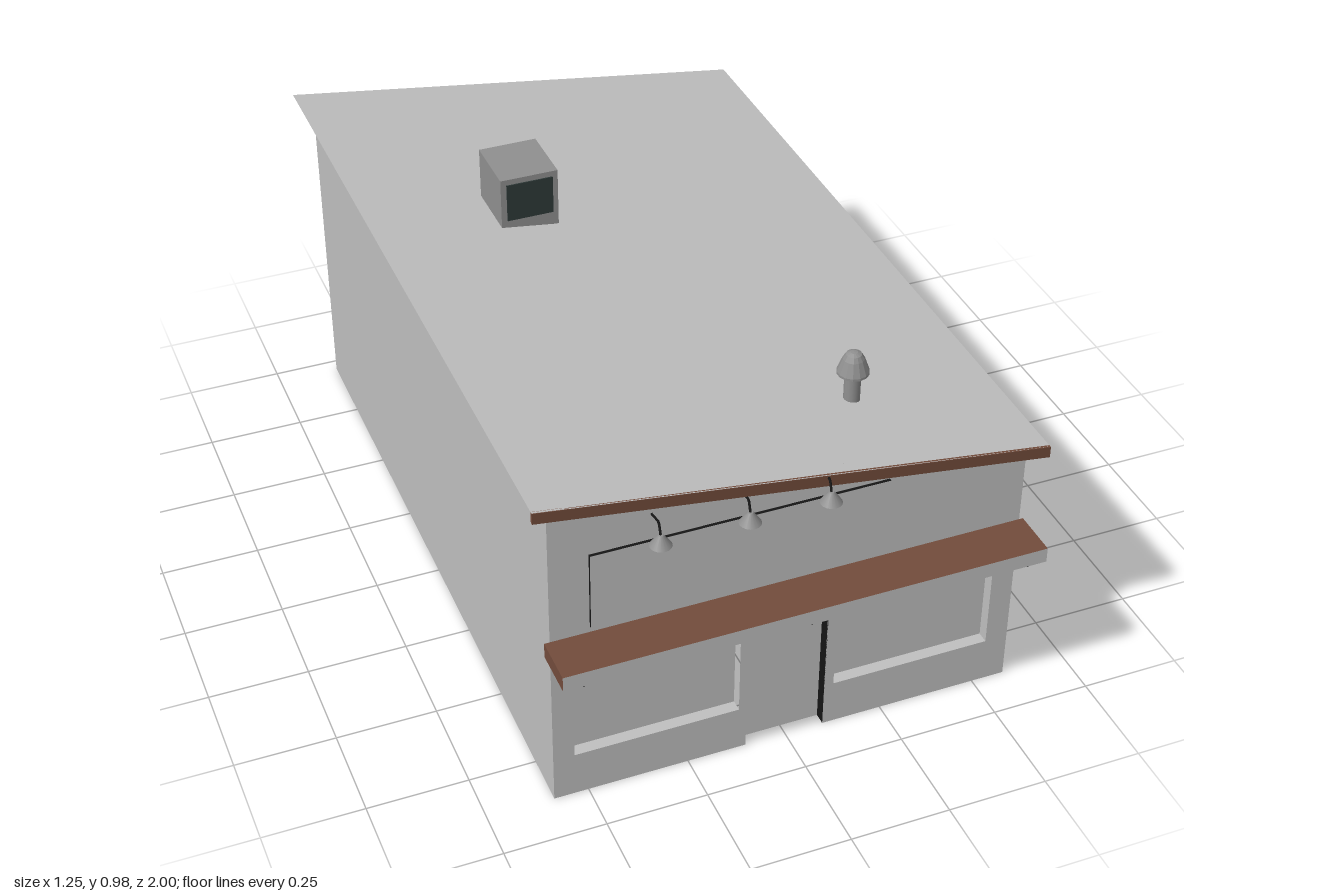
import * as THREE from 'three';

const mat = (name, color, side = THREE.FrontSide) =>
  Object.assign(new THREE.MeshStandardMaterial({ color, side }), { name });

export function createModel() {
  const root = new THREE.Group();
  root.name = 'shopBuilding';

  const gray = mat('paleGray', 0xc0c0c0, THREE.DoubleSide);
  const metal = mat('metalGray', 0x909090);
  const brown = mat('brownTimber', 0x734c3c);
  const black = mat('black', 0x151515, THREE.DoubleSide);
  const glass = mat('darkGrille', 0x2f3a39);

  const add = (name, geo, material, x = 0, y = 0, z = 0, parent = root) => {
    const m = new THREE.Mesh(geo, material);
    m.name = name;
    m.position.set(x, y, z);
    parent.add(m);
    return m;
  };
  // box given by its limits on each axis
  const box = (name, material, [x0, x1], [y0, y1], [z0, z1]) =>
    add(name, new THREE.BoxGeometry(x1 - x0, y1 - y0, z1 - z0), material,
      (x0 + x1) / 2, (y0 + y1) / 2, (z0 + z1) / 2);
  const outline = pts => new THREE.Shape(pts.map(p => new THREE.Vector2(...p)));
  const rect = (x0, x1, y0, y1) => [[x0, y0], [x1, y0], [x1, y1], [x0, y1]];
  const rod = (name, pts, r, material, parent = root) => {
    const path = new THREE.CurvePath();
    for (let i = 1; i < pts.length; i++) path.add(new THREE.LineCurve3(
      new THREE.Vector3(...pts[i - 1]), new THREE.Vector3(...pts[i])));
    return add(name, new THREE.TubeGeometry(path, (pts.length - 1) * 4, r, 6), material, 0, 0, 0, parent);
  };

  // overall sizes
  const W = 0.585, FRONT = 0.88, BACK = -0.96, RECESS = 0.03;
  const RX0 = -0.628, RX1 = 0.626;
  const roofY = x => 0.886 - (x - RX0) * 0.1408;
  const door = { x0: -0.103, x1: 0.098, top: 0.363 };
  const windows = [[-0.533, -0.122], [0.122, 0.528]];
  const sill = 0.12, head = 0.42;

  // front wall with door notch and window openings
  const front = outline([
    [-W, 0], [door.x0, 0], [door.x0, door.top], [door.x1, door.top], [door.x1, 0],
    [W, 0], [W, roofY(W)], [-W, roofY(-W)],
  ]);
  windows.forEach(([a, b]) => front.holes.push(outline(rect(a, b, sill, head))));
  add('frontWall', new THREE.ShapeGeometry(front), gray, 0, 0, FRONT);

  // back and side walls, open underneath
  const back = add('backWall', new THREE.ShapeGeometry(outline(
    [[-W, 0], [W, 0], [W, roofY(W)], [-W, roofY(-W)]])), gray, 0, 0, BACK);
  back.rotation.y = Math.PI;
  back.scale.x = -1;
  for (const s of [-1, 1]) {
    const h = roofY(s * W);
    add(s > 0 ? 'leftWall' : 'rightWall', new THREE.PlaneGeometry(FRONT - BACK, h), gray,
      s * W, h / 2, (FRONT + BACK) / 2).rotation.y = s * Math.PI / 2;
  }

  // sloping roof sheet and timber fascia
  const roof = new THREE.PlaneGeometry(RX1 - RX0, 1.915).rotateX(-Math.PI / 2);
  roof.translate((RX0 + RX1) / 2, 0, -0.0425);
  const rp = roof.attributes.position;
  for (let i = 0; i < rp.count; i++) rp.setY(i, roofY(rp.getX(i)));
  roof.computeVertexNormals();
  add('roof', roof, gray);
  add('roofFascia', new THREE.ExtrudeGeometry(outline([
    [RX0, roofY(RX0) - 0.029], [RX1, roofY(RX1) - 0.029], [RX1, roofY(RX1)], [RX0, roofY(RX0)],
  ]), { depth: 0.008, bevelEnabled: false }), brown, 0, 0, 0.908);

  // recessed windows, open along their inner edge
  const T = 0.002, deep = [FRONT - RECESS, FRONT];
  windows.forEach(([a, b], i) => {
    const outer = i ? b : a;
    add('windowPane', new THREE.ShapeGeometry(outline(rect(a, b, sill, head))), gray, 0, 0, FRONT - RECESS);
    box('windowSill', gray, [a, b], [sill - T, sill], deep);
    box('windowHead', gray, [a, b], [head, head + T], deep);
    box('windowJamb', gray, i ? [outer, outer + T] : [outer - T, outer], [sill, head], deep);
  });

  // recessed door with black jambs
  add('door', new THREE.ShapeGeometry(outline(rect(door.x0, door.x1, 0, door.top))), gray, 0, 0, FRONT - RECESS);
  box('doorJamb', black, [door.x0 - T, door.x0], [0, door.top], deep);
  box('doorJamb', black, [door.x1, door.x1 + T], [0, door.top], deep);
  box('doorHead', black, [door.x0, door.x1], [door.top, door.top + T], deep);

  // sign board: pale face, black edges
  box('signBoard', [black, black, black, black, gray, black], [-0.49, 0.235], [0.5, 0.705], [FRONT, FRONT + 0.008]);

  // awning shelf with brackets and strip lights
  box('awning', [brown, brown, brown, black, gray, brown], [-0.598, 0.595], [0.444, 0.483], [FRONT, 1]);
  for (const x of [-0.548, 0, 0.548])
    rod('awningBracket', [[x, 0.386, FRONT], [x, 0.443, 0.995]], 0.0045, black);
  for (const x of [-0.315, 0.325])
    add('stripLight', new THREE.CylinderGeometry(0.0065, 0.0065, 0.235, 10), metal,
      x, 0.428, 0.907).rotation.z = Math.PI / 2;

  // gooseneck lamps above the sign
  for (const x of [-0.343, -0.132, 0.063]) {
    const lamp = new THREE.Group();
    lamp.name = 'wallLamp';
    lamp.position.x = x;
    root.add(lamp);
    rod('lampArm', [[0, 0.775, FRONT], [0, 0.784, 0.922], [0, 0.752, 0.934]], 0.003, black, lamp);
    add('lampShade', new THREE.CylinderGeometry(0.006, 0.026, 0.028, 16), metal, 0, 0.743, 0.934, lamp);
  }

  // rooftop cooling unit
  box('coolingUnit', metal, [-0.301, -0.151], [0.82, 0.975], [-0.4, -0.235]);
  box('coolingGrille', glass, [-0.286, -0.165], [0.858, 0.96], [-0.236, -0.232]);

  // vent pipe with domed cap
  add('ventPipe', new THREE.CylinderGeometry(0.02, 0.02, 0.1, 14), metal, 0.25, 0.795, 0.64);
  const cap = [[0, 0.836], [0.0385, 0.836], [0.0385, 0.842], [0.026, 0.876], [0.019, 0.888], [0.009, 0.893], [0, 0.894]];
  const capMesh = new THREE.LatheGeometry(cap.map(p => new THREE.Vector2(...p)), 14).toNonIndexed();
  capMesh.computeVertexNormals();
  add('ventCap', capMesh, metal, 0.25, 0, 0.64);

  return root;
}
